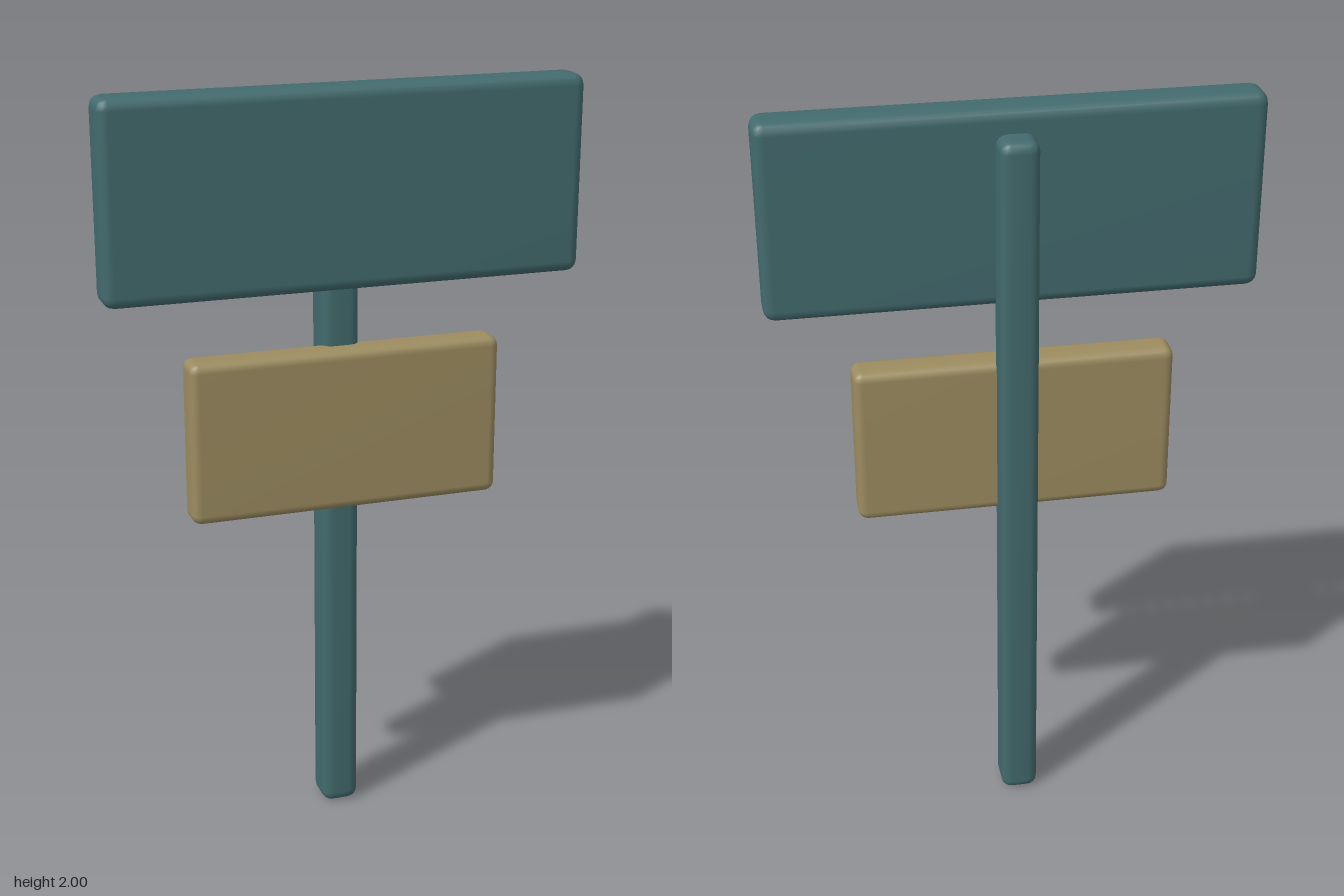
import * as THREE from 'three';
import { RoundedBoxGeometry } from 'three/addons/geometries/RoundedBoxGeometry.js';
import { mergeVertices } from 'three/addons/utils/BufferGeometryUtils.js';

// Box with softly rounded edges, given by its lower and upper corners
function softBox(name, min, max, radius, material) {
  const size = max.map((v, i) => v - min[i]);
  let geometry = new RoundedBoxGeometry(size[0], size[1], size[2], 2, radius);
  geometry.clearGroups();
  geometry.deleteAttribute('uv');
  geometry.deleteAttribute('normal');
  geometry = mergeVertices(geometry, 1e-4);
  geometry.computeVertexNormals(); // one smooth surface across the bevels
  const mesh = new THREE.Mesh(geometry, material);
  mesh.name = name;
  mesh.position.set(...max.map((v, i) => (v + min[i]) / 2));
  return mesh;
}

export function createModel() {
  const teal = new THREE.MeshStandardMaterial({ color: 0x436b6e });
  teal.name = 'teal paint';
  const tan = new THREE.MeshStandardMaterial({ color: 0x9c8c60 });
  tan.name = 'tan paint';

  const sign = new THREE.Group();
  sign.name = 'signpost';
  sign.add(
    // Upright post behind the boards
    softBox('post', [-0.05, 0, -0.09], [0.05, 1.94, 0.02], 0.028, teal),
    // Large upper board
    softBox('upperBoard', [-0.625, 1.49, -0.02], [0.625, 2, 0.09], 0.03, teal),
    // Smaller lower board
    softBox('lowerBoard', [-0.415, 0.9, -0.02], [0.415, 1.33, 0.075], 0.025, tan),
  );
  return sign;
}
